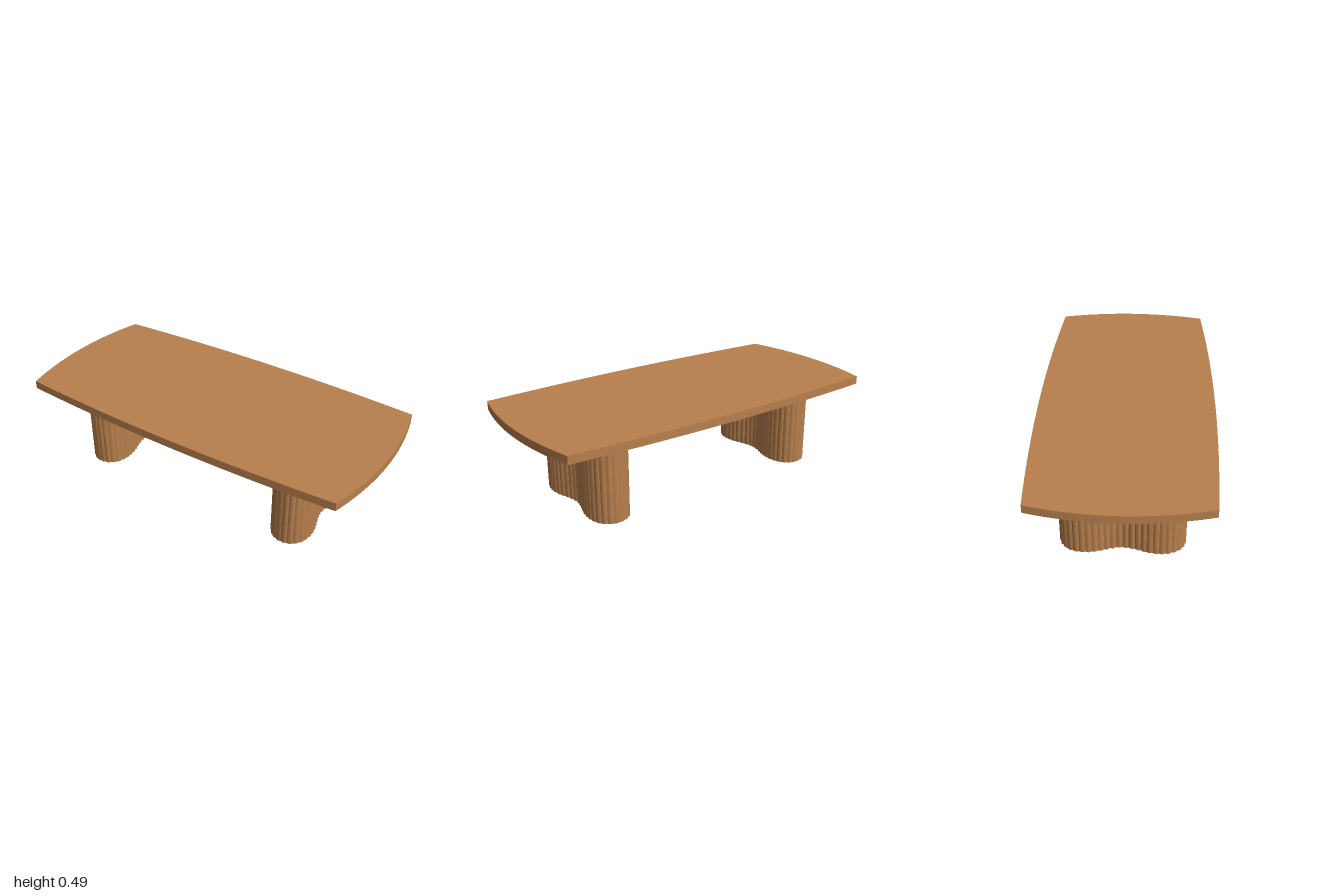
import * as THREE from 'three';
import { toCreasedNormals } from 'three/addons/utils/BufferGeometryUtils.js';

const LEG_HEIGHT = 0.447;
const TOP_THICKNESS = 0.044;

// Extrude a plan outline (x, z) upwards, keeping only sharp edges creased
function extrudeUp(points, height, crease) {
  const geometry = new THREE.ExtrudeGeometry(new THREE.Shape(points), {
    depth: height, bevelEnabled: false,
  });
  geometry.rotateX(-Math.PI / 2);
  return toCreasedNormals(geometry, crease);
}

// Bowed rectangle: four shallow arcs meeting at crisp corners
function topOutline() {
  const cx = 0.943, cz = 0.438, bowX = 0.057, bowZ = 0.035, n = 24;
  const points = [];
  for (let side = 0; side < 4; side++) {
    for (let i = 0; i < n; i++) {
      const t = -1 + (2 * i) / n;
      const bow = 1 - t * t;
      const sign = side < 2 ? 1 : -1;
      points.push(side % 2 === 0
        ? new THREE.Vector2(sign * (cx + bowX * bow), sign * t * cz)
        : new THREE.Vector2(-sign * t * cx, sign * (cz + bowZ * bow)));
    }
  }
  return points;
}

// Pinched-waist outline covered in convex flutes
function legOutline(flutes = 48, steps = 6, depth = 0.006) {
  const quarter = [[0.062, 0], [0.074, 0.065], [0.096, 0.13], [0.104, 0.2],
    [0.087, 0.267], [0.048, 0.307], [0, 0.319]];
  const right = [...quarter, ...quarter.slice(1, -1).reverse().map(([x, z]) => [-x, z])];
  const loop = [...right, ...right.map(([x, z]) => [-x, -z])];
  const curve = new THREE.CatmullRomCurve3(
    loop.map(([x, z]) => new THREE.Vector3(x, z, 0)), true, 'centripetal');
  curve.arcLengthDivisions = 800;
  const base = curve.getSpacedPoints(flutes);
  const points = [];
  for (let i = 0; i < flutes; i++) {
    const a = base[i], b = base[i + 1];
    const length = a.distanceTo(b);
    const nx = (b.y - a.y) / length, nz = -(b.x - a.x) / length;
    for (let k = 0; k < steps; k++) {
      const t = k / steps;
      const d = depth * 4 * t * (1 - t);
      points.push(new THREE.Vector2(
        a.x + (b.x - a.x) * t + nx * d, a.y + (b.y - a.y) * t + nz * d));
    }
  }
  return points;
}

export function createModel() {
  const group = new THREE.Group();
  group.name = 'coffeeTable';
  const wood = new THREE.MeshStandardMaterial({ color: 0xb8804d });
  wood.name = 'warm wood';

  // Table top
  const top = new THREE.Mesh(extrudeUp(topOutline(), TOP_THICKNESS, 0.3), wood);
  top.name = 'tableTop';
  top.position.y = LEG_HEIGHT;
  group.add(top);

  // Two fluted pedestal legs
  const legGeometry = extrudeUp(legOutline(), LEG_HEIGHT, 0.5);
  for (const [name, x] of [['leftLeg', 0.614], ['rightLeg', -0.614]]) {
    const leg = new THREE.Mesh(legGeometry, wood);
    leg.name = name;
    leg.position.x = x;
    group.add(leg);
  }
  return group;
}
